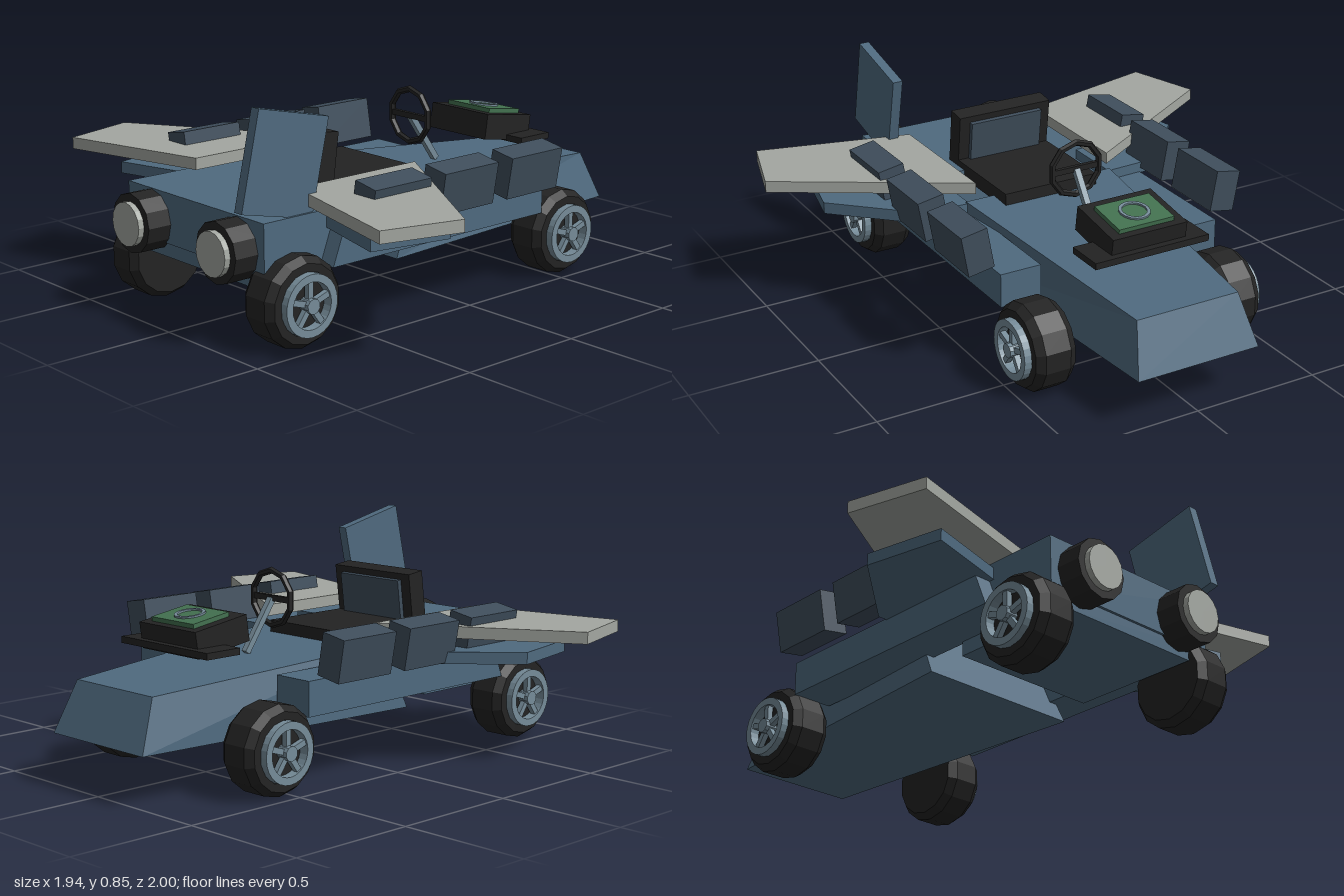
import * as THREE from 'three';

const mat = (name, color) => {
  const m = new THREE.MeshStandardMaterial({ color });
  m.name = name;
  return m;
};

export function createModel() {
  const root = new THREE.Group();
  root.name = 'wingedCart';
  const blue = mat('bodyBlue', 0x4f6a7f);
  const darkBlue = mat('darkBlue', 0x3f4e5c);
  const pale = mat('paleGrey', 0xa3a7a1);
  const black = mat('black', 0x232323);
  const green = mat('screenGreen', 0x437150);
  const silver = mat('silverBlue', 0x768c99);

  // Adds a faceted mesh
  const add = (name, geo, material, pos = [0, 0, 0], rot = [0, 0, 0], parent = root) => {
    const g = geo.index ? geo.toNonIndexed() : geo;
    g.computeVertexNormals();
    const m = new THREE.Mesh(g, material);
    m.name = name;
    m.position.set(...pos);
    m.rotation.set(...rot);
    parent.add(m);
    return m;
  };
  const box = (w, h, d) => new THREE.BoxGeometry(w, h, d);
  // Box given by its limits on each axis
  const block = (name, [x0, x1], [y0, y1], [z0, z1], material) =>
    add(name, box(x1 - x0, y1 - y0, z1 - z0), material, [(x0 + x1) / 2, (y0 + y1) / 2, (z0 + z1) / 2]);
  // Box whose corners are moved by a rule of their signs
  const wedge = (name, rule, material) => {
    const g = box(2, 2, 2), p = g.attributes.position;
    for (let i = 0; i < p.count; i++) p.setXYZ(i, ...rule(p.getX(i), p.getY(i), p.getZ(i)));
    return add(name, g, material);
  };
  const shapeOf = (pts) => new THREE.Shape(pts.map(([a, b]) => new THREE.Vector2(a, b)));
  // Horizontal plate with an [x, z] outline
  const plate = (name, pts, y, h, material) => {
    const g = new THREE.ExtrudeGeometry(shapeOf(pts.map(([x, z]) => [x, -z])), { depth: h, bevelEnabled: false });
    g.rotateX(-Math.PI / 2);
    return add(name, g, material, [0, y, 0]);
  };
  const ring = (outer, inner, depth, seg) => {
    const s = new THREE.Shape().absarc(0, 0, outer, 0, Math.PI * 2, false);
    s.holes.push(new THREE.Path().absarc(0, 0, inner, 0, Math.PI * 2, true));
    return new THREE.ExtrudeGeometry(s, { depth, bevelEnabled: false, curveSegments: seg });
  };

  // Tapered nose hull
  wedge('noseHull', (x, y, z) => {
    const top = y > 0;
    if (z < 0) return [x * (top ? 0.21 : 0.25), top ? 0.38 : 0.19, top ? -0.92 : -1];
    return [x * (top ? 0.32 : 0.34), top ? 0.445 : 0.19, top ? 0.11 : 0.22];
  }, blue);

  // Engine housing and its underside
  wedge('rearBody', (x, y, z) => [x * 0.395, y > 0 ? 0.46 : 0.27, z > 0 ? 0.88 : 0.35], blue);
  block('rearUnderside', [-0.31, 0.31], [0.215, 0.27], [0.35, 0.87], blue);

  // Wheel, built facing +x with its centre at the origin
  const makeWheel = (name, side, z) => {
    const w = new THREE.Group();
    w.name = name;
    const profile = [[0, -0.08], [0.145, -0.08], [0.167, -0.05], [0.167, 0.05], [0.145, 0.08], [0.115, 0.08], [0.11, 0.07], [0, 0.07]]
      .map(([r, a]) => new THREE.Vector2(r, a));
    const tyre = new THREE.LatheGeometry(profile, 14);
    tyre.rotateX(Math.PI / 2);
    add('tyre', tyre, black, [0, 0, 0], [0, 0, 0], w);
    add('rim', ring(0.113, 0.085, 0.04, 14), silver, [0, 0, 0.068], [0, 0, 0], w);
    for (let i = 0; i < 5; i++) {
      const spoke = box(0.022, 0.09, 0.022);
      spoke.translate(0, 0.05, 0);
      add('spoke', spoke, silver, [0, 0, 0.09], [0, 0, (i * Math.PI * 2) / 5], w);
    }
    const hub = new THREE.CylinderGeometry(0.028, 0.028, 0.05, 10);
    hub.rotateX(Math.PI / 2);
    add('hubCap', hub, silver, [0, 0, 0.092], [0, 0, 0], w);
    w.position.set(side * 0.395, 0.17, z);
    w.rotation.y = (side * Math.PI) / 2;
    root.add(w);
  };

  for (const s of [1, -1]) {
    const tag = s > 0 ? 'left' : 'right';
    const mirror = (pts) => pts.map(([x, z]) => [s * x, z]);

    // Side rail joining hull and rear body
    wedge(tag + 'SideRail', (x, y, z) => [
      s * 0.38 + x * 0.082, y > 0 ? 0.4 : 0.27, z < 0 ? -0.42 : y > 0 ? 0.58 : 0.63,
    ], blue);

    // Lower blue wing and upper pale wing
    plate(tag + 'LowerWing', mirror([[0.31, 0.1], [0.5, 0.11], [0.785, 0.385], [0.72, 0.69], [0.31, 0.58]]), 0.395, 0.045, blue);
    plate(tag + 'UpperWing', mirror([[0.29, 0.085], [0.97, 0.5], [0.885, 0.8], [0.29, 0.65]]), 0.48, 0.045, pale);

    // Row of tilted side boxes
    for (const z of [-0.248, 0.09, 0.422])
      add(tag + 'SideBox', box(0.105, 0.16, 0.265), darkBlue, [s * 0.53, 0.487, z], [0, 0, -s * 0.175]);

    // Round lamp
    const housing = new THREE.CylinderGeometry(0.112, 0.112, 0.12, 12);
    housing.rotateX(Math.PI / 2);
    add(tag + 'LampHousing', housing, black, [s * 0.25, 0.345, 0.915]);
    const lens = new THREE.CylinderGeometry(0.082, 0.082, 0.06, 16);
    lens.rotateX(Math.PI / 2);
    add(tag + 'LampLens', lens, pale, [s * 0.25, 0.345, 0.968]);

    makeWheel(tag + 'EngineEndWheel', s, 0.76);
    makeWheel(tag + 'NoseEndWheel', s, -0.55);
  }

  // Single upright fin, outlined in [z, y]
  const fin = new THREE.ExtrudeGeometry(
    shapeOf([[-0.885, 0.855], [-0.965, 0.505], [-0.66, 0.435], [-0.58, 0.785]]),
    { depth: 0.04, bevelEnabled: false });
  fin.rotateY(Math.PI / 2);
  add('fin', fin, blue, [0.345, 0, 0]);

  // Seat with padded backrest
  block('seatBase', [-0.2, 0.2], [0.425, 0.485], [0.015, 0.43], black);
  const back = add('seatBack', box(0.4, 0.22, 0.075), black, [0, 0.563, 0.427], [-0.13, 0, 0]);
  add('seatPad', box(0.31, 0.16, 0.02), darkBlue, [0, 0.005, -0.046], [0, 0, 0], back);

  // Steering wheel and column
  add('steeringWheel', new THREE.TorusGeometry(0.104, 0.013, 6, 10), black, [0, 0.615, -0.163], [0, 0, Math.PI / 10]);
  add('steeringBar', box(0.2, 0.022, 0.016), black, [0, 0.615, -0.163]);
  add('steeringColumn', box(0.024, 0.23, 0.024), silver, [0, 0.518, -0.232], [0.61, 0, 0]);

  // Instrument console
  block('consolePlate', [-0.237, 0.237], [0.48, 0.505], [-0.695, -0.54], black);
  const dash = add('console', box(0.31, 0.1, 0.245), black, [0, 0.535, -0.548], [-0.15, 0, 0]);
  add('screen', box(0.23, 0.02, 0.17), green, [0, 0.057, -0.01], [0, 0, 0], dash);
  add('screenDial', ring(0.058, 0.046, 0.008, 8), silver, [0, 0.066, -0.01], [-Math.PI / 2, 0, 0], dash);

  return root;
}
